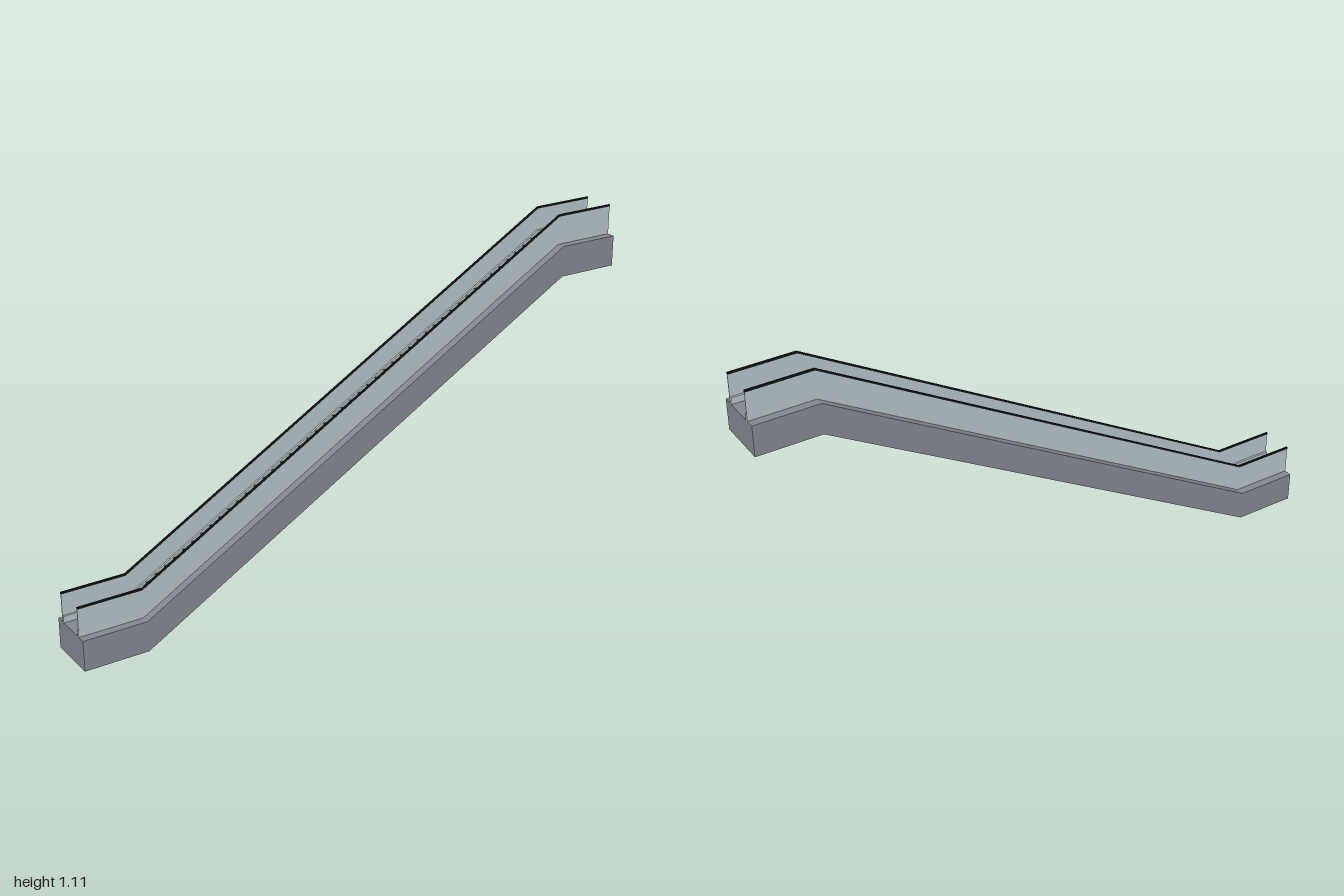
import * as THREE from 'three';

const BEND = 0.785;   // x where the landings meet the slope
const RISE = 0.907;   // height gained along the slope
const TRUSS = 0.103;  // truss depth

const material = (name, color) => {
  const m = new THREE.MeshStandardMaterial({ color });
  m.name = name;
  return m;
};

// Underside height of the slope at x
const slopeY = (x) => RISE * (x + BEND) / (2 * BEND);

// Band following the landing-slope-landing path, between two heights and two depths
function band(name, low, high, z0, z1, mat) {
  const path = [[-1, 0], [-BEND, 0], [BEND, RISE], [1, RISE]];
  const outline = [
    ...path.map(([x, y]) => new THREE.Vector2(x, y + low)),
    ...path.reverse().map(([x, y]) => new THREE.Vector2(x, y + high)),
  ];
  const geo = new THREE.ExtrudeGeometry(new THREE.Shape(outline), { depth: z1 - z0, bevelEnabled: false });
  geo.translate(0, 0, z0);
  const mesh = new THREE.Mesh(geo, mat);
  mesh.name = name;
  return mesh;
}

export function createModel() {
  const group = new THREE.Group();
  group.name = 'escalator';
  const steel = material('truss grey', 0x82868e);
  const glass = material('pale glass', 0xb2c1c6);
  const skirt = material('skirt grey', 0xb4bfc3);
  const tread = material('step grey', 0x868a91);
  const black = material('handrail black', 0x151617);

  // Main body
  group.add(band('truss', 0, TRUSS, -0.085, 0.085, steel));

  // Skirts, glass balustrades and handrails on both sides
  for (const [side, s] of [['left', -1], ['right', 1]]) {
    const add = (name, low, high, a, b, mat) =>
      group.add(band(side + name, low, high, Math.min(s * a, s * b), Math.max(s * a, s * b), mat));
    add('Skirt', TRUSS, 0.125, 0.047, 0.057, skirt);
    add('Balustrade', 0.125, 0.199, 0.054, 0.057, glass);
    add('Handrail', 0.198, 0.204, 0.0525, 0.059, black);
  }

  // Steps, each level with the slope at its back edge
  const steps = new THREE.Group();
  steps.name = 'steps';
  const count = 48;
  const run = 2 * BEND / count;
  const rise = RISE / count;
  const stepGeo = new THREE.BoxGeometry(run, rise, 0.094);
  const nosingGeo = new THREE.BoxGeometry(0.004, 0.002, 0.09);
  for (let i = 0; i < count; i++) {
    const x = -BEND + i * run;
    const top = slopeY(x + run) + TRUSS;
    const step = new THREE.Mesh(stepGeo, tread);
    step.name = 'step';
    step.position.set(x + run / 2, top - rise / 2, 0);
    const nosing = new THREE.Mesh(nosingGeo, black);
    nosing.name = 'stepNosing';
    nosing.position.set(x + 0.002, top, 0);
    steps.add(step, nosing);
  }
  group.add(steps);
  return group;
}
